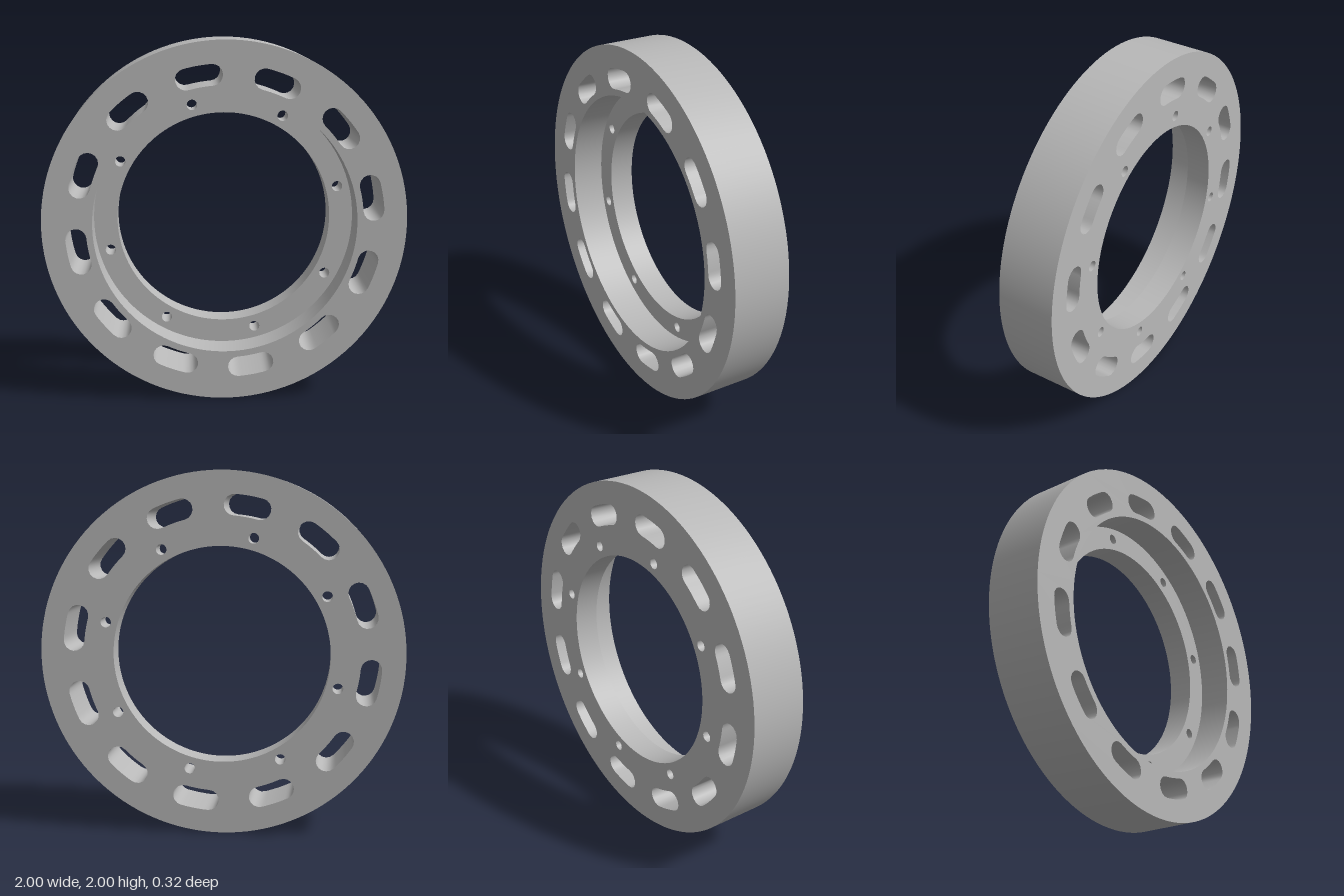
import * as THREE from 'three';
import { mergeGeometries } from 'three/addons/utils/BufferGeometryUtils.js';

const FRONT = 0.16, FLOOR = -0.02, BACK = -0.16;
const rad = THREE.MathUtils.degToRad;
const polar = (r, a) => new THREE.Vector2(r * Math.cos(a), r * Math.sin(a));

// Counter-clockwise circle outline
function circle(r, n, centre = new THREE.Vector2()) {
  return Array.from({ length: n }, (_, i) => polar(r, (i / n) * Math.PI * 2).add(centre));
}

// Counter-clockwise curved slot with round ends
function slot(angle, radius = 0.818, halfSpan = rad(5), w = 0.0575) {
  const a0 = angle - halfSpan, a1 = angle + halfSpan, n = 8, pts = [];
  for (let i = 0; i < n; i++) pts.push(polar(radius + w, a0 + (a1 - a0) * i / n));
  for (let i = 0; i < n; i++) pts.push(polar(w, a1 + Math.PI * i / n).add(polar(radius, a1)));
  for (let i = 0; i < n; i++) pts.push(polar(radius - w, a1 + (a0 - a1) * i / n));
  for (let i = 0; i < n; i++) pts.push(polar(w, a0 + Math.PI + Math.PI * i / n).add(polar(radius, a0)));
  return pts;
}

// Flat face with cut-outs, facing +z or -z
function face(outline, holes, z, backward = false) {
  const shape = new THREE.Shape(outline);
  shape.holes = holes.map((h) => new THREE.Path(h));
  const g = new THREE.ShapeGeometry(shape);
  if (backward) {
    const index = g.index.array;
    for (let i = 0; i < index.length; i += 3) [index[i], index[i + 1]] = [index[i + 1], index[i]];
    g.computeVertexNormals();
  }
  return g.translate(0, 0, z);
}

// Smooth closed wall along an outline; inward walls line a hole
function wall(outline, z0, z1, inward = true) {
  const pts = inward ? [...outline].reverse() : outline;
  const n = pts.length, pos = [], index = [];
  pts.forEach((p, i) => {
    pos.push(p.x, p.y, z0, p.x, p.y, z1);
    const a = 2 * i, b = 2 * ((i + 1) % n);
    index.push(a, b, b + 1, a, b + 1, a + 1);
  });
  const g = new THREE.BufferGeometry();
  g.setAttribute('position', new THREE.Float32BufferAttribute(pos, 3));
  g.setIndex(index);
  g.computeVertexNormals();
  return g;
}

export function createModel() {
  const group = new THREE.Group();
  const metal = new THREE.MeshStandardMaterial({ color: 0xb8b8b8 });
  metal.name = 'grey metal';
  const add = (name, geometry) => {
    const mesh = new THREE.Mesh(geometry, metal);
    mesh.name = name;
    mesh.position.y = 1;
    group.add(mesh);
  };

  const rim = circle(1, 128), recess = circle(0.725, 128), bore = circle(0.595, 128);
  const slots = Array.from({ length: 12 }, (_, i) => slot(rad(10 + 30 * i)));
  const bolts = Array.from({ length: 8 }, (_, i) => circle(0.029, 24, polar(0.66, rad(15.4 + 45 * i))));

  // Flat faces
  add('frontFace', face(rim, [recess, ...slots], FRONT));
  add('recessFloor', face(recess, [bore, ...bolts], FLOOR));
  add('backFace', face(rim, [bore, ...slots, ...bolts], BACK, true));

  // Round walls
  add('outerRim', wall(rim, BACK, FRONT, false));
  add('recessWall', wall(recess, FLOOR, FRONT));
  add('boreWall', wall(bore, BACK, FLOOR));

  // Walls inside the slots and bolt holes
  add('slotWalls', mergeGeometries(slots.map((s) => wall(s, BACK, FRONT))));
  add('boltHoleWalls', mergeGeometries(bolts.map((b) => wall(b, BACK, FLOOR))));
  return group;
}
